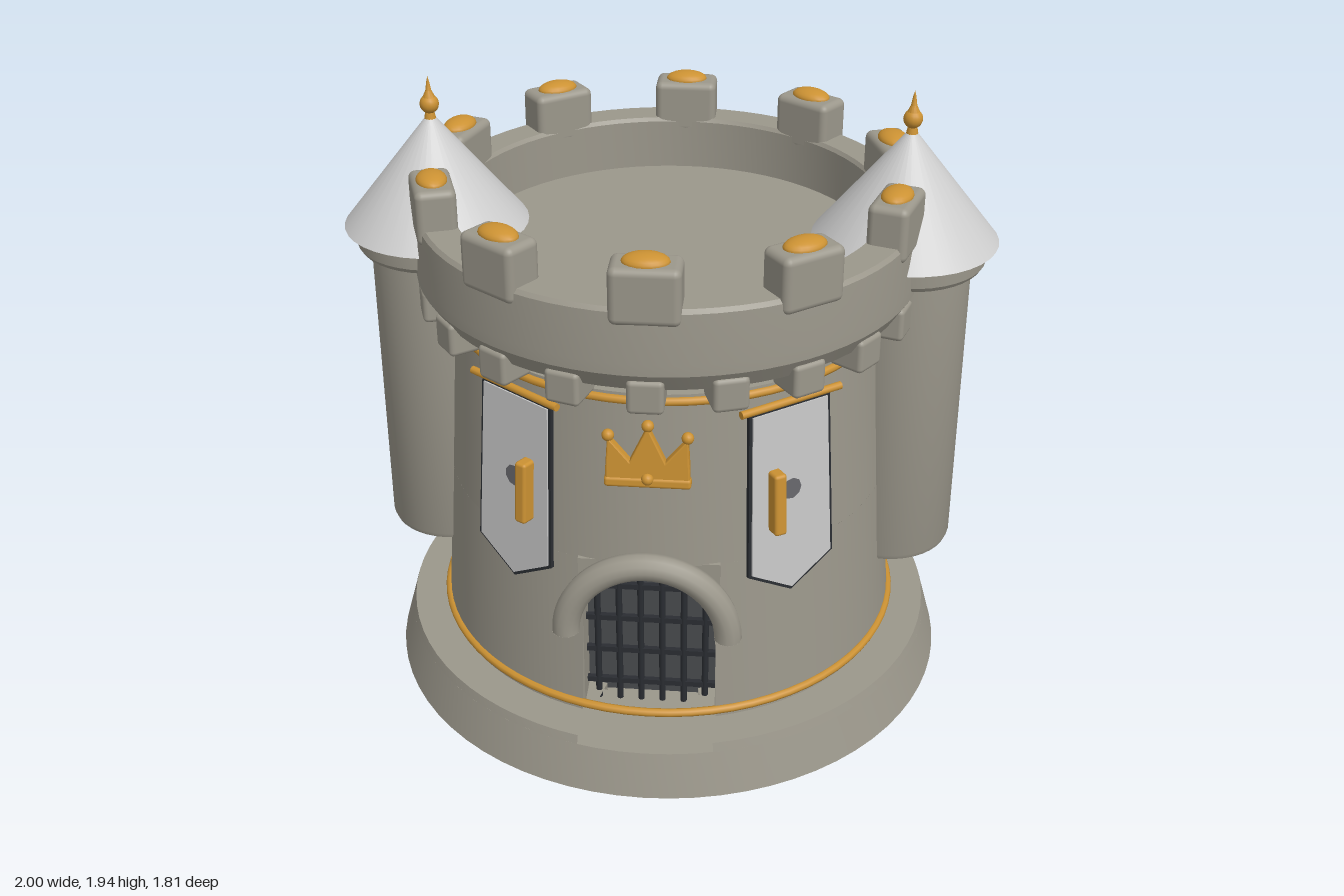
import * as THREE from 'three';
import { toCreasedNormals } from 'three/addons/utils/BufferGeometryUtils.js';
import { RoundedBoxGeometry } from 'three/addons/geometries/RoundedBoxGeometry.js';

const material = (name, color, side = THREE.FrontSide) => {
  const m = new THREE.MeshStandardMaterial({ color, side });
  m.name = name;
  return m;
};

export function createModel() {
  const stone = material('stone', 0x9b978b, THREE.DoubleSide);
  const roof = material('pale roof', 0xcdcdcd);
  const cloth = material('banner cloth', 0xc6c6c6);
  const gold = material('gold', 0xcc9233);
  const iron = material('dark iron', 0x2a2d32);
  const shade = material('gate shadow', 0x484a4d);
  const grey = material('emblem grey', 0x66666a);

  const model = new THREE.Group();
  model.name = 'castleTower';

  const add = (name, geo, mat, pos = [0, 0, 0], parent = model) => {
    const mesh = new THREE.Mesh(geo, mat);
    mesh.name = name;
    mesh.position.set(...pos);
    parent.add(mesh);
    return mesh;
  };
  const group = (name, parent = model) => {
    const g = new THREE.Group();
    g.name = name;
    parent.add(g);
    return g;
  };
  // Turned profile with crisp edges; gap is the half angle left open at the front
  const turned = (points, gap = 0, segments = 72) => toCreasedNormals(
    new THREE.LatheGeometry(points.map(p => new THREE.Vector2(...p)), segments, gap, Math.PI * 2 - 2 * gap), 0.5);
  const polygon = pts => new THREE.Shape(pts.map(p => new THREE.Vector2(...p)));
  const plate = (shape, depth, bevel = 0) => new THREE.ExtrudeGeometry(shape, {
    depth, bevelEnabled: bevel > 0, bevelSize: bevel, bevelThickness: bevel, bevelSegments: 2, curveSegments: 20 });

  // Sloping wall: radius at a height, and a frame lying on the wall
  const wallRadius = y => 0.74 - 0.068 * (y - 0.17);
  const onWall = (name, angle, y) => {
    const turn = group(name);
    turn.rotation.y = angle;
    const frame = group(name + 'Frame', turn);
    frame.position.set(0, y, wallRadius(y));
    frame.rotation.x = -Math.atan(0.068);
    return frame;
  };

  // Base with a shallow threshold cut
  add('base', turned([[0, 0], [0.905, 0], [0.866, 0.14], [0, 0.14]]), stone);
  add('baseTop', turned([[0.866, 0.14], [0.858, 0.168], [0.6, 0.168], [0.6, 0.14]], 0.24), stone);

  // Main wall, open at the doorway
  add('lowerWall', turned([[wallRadius(0.14), 0.14], [wallRadius(0.71), 0.71]], 0.28), stone);
  add('upperWall', turned([[wallRadius(0.71), 0.71], [wallRadius(1.27), 1.27], [0, 1.27]]), stone);

  // Gilded bands
  for (const [name, y, r] of [['lowerBand', 0.195, 0.742], ['upperBand', 1.25, 0.669]]) {
    add(name, new THREE.TorusGeometry(r, 0.013, 8, 72), gold, [0, y, 0]).rotation.x = Math.PI / 2;
  }

  // Doorway: arched surround, jambs, hood and portcullis
  const door = group('doorway');
  const spandrel = polygon([[-0.21, 0.5], [-0.2, 0.5]]);
  spandrel.absarc(0, 0.5, 0.2, Math.PI, 0, true);
  spandrel.lineTo(0.21, 0.5);
  spandrel.lineTo(0.21, 0.715);
  spandrel.lineTo(-0.21, 0.715);
  add('doorArch', plate(spandrel, 0.13), stone, [0, 0, 0.555], door);
  for (const s of [-1, 1]) {
    add('doorJamb', new THREE.BoxGeometry(0.03, 0.38, 0.13), stone, [s * 0.215, 0.33, 0.615], door);
    add('hoodEnd', new THREE.CircleGeometry(0.041, 16), stone, [s * 0.24, 0.51, 0.76], door).rotation.x = Math.PI / 2;
  }
  add('hood', new THREE.TorusGeometry(0.24, 0.041, 12, 32, Math.PI), stone, [0, 0.51, 0.76], door);
  add('gateBack', new THREE.PlaneGeometry(0.42, 0.58), shade, [0, 0.43, 0.57], door);
  for (let i = 0; i < 6; i++) {
    const x = -0.165 + i * 0.066;
    const top = 0.5 + Math.sqrt(0.04 - x * x);
    add('gateBar', new THREE.CylinderGeometry(0.01, 0.01, top - 0.14, 8), iron, [x, (top + 0.14) / 2, 0.61], door);
  }
  for (const y of [0.21, 0.33, 0.45, 0.57]) {
    add('gateRail', new THREE.BoxGeometry(y > 0.5 ? 0.37 : 0.4, 0.018, 0.016), iron, [0, y, 0.61], door);
  }

  // Parapet ring, roof floor, corbels and merlons
  add('parapet', turned([[0.65, 1.325], [0.735, 1.325], [0.772, 1.385], [0.772, 1.42], [0.763, 1.57],
    [0.753, 1.582], [0.658, 1.582], [0.65, 1.57], [0.65, 1.325]]), stone);
  add('roofFloor', new THREE.CylinderGeometry(0.66, 0.66, 0.07, 64), stone, [0, 1.375, 0]);
  for (let i = 0; i < 20; i++) {
    const turn = group('corbel');
    turn.rotation.y = i * Math.PI / 10;
    add('corbelBlock', new RoundedBoxGeometry(0.105, 0.105, 0.12, 2, 0.015), stone, [0, 1.312, 0.707], turn);
  }
  for (let i = 0; i < 10; i++) {
    const turn = group('merlon');
    turn.rotation.y = i * Math.PI / 5;
    add('merlonBlock', new RoundedBoxGeometry(0.2, 0.17, 0.122, 3, 0.022), stone, [0, 1.617, 0.71], turn);
    add('merlonStud', new THREE.SphereGeometry(1, 20, 12), gold, [0, 1.702, 0.71], turn).scale.set(0.067, 0.025, 0.046);
  }

  // Side turrets
  for (const s of [-1, 1]) {
    const turret = group(s > 0 ? 'leftTurret' : 'rightTurret');
    turret.position.x = s * 0.717;
    add('turretShaft', turned([[0, 0.42], [0.19, 0.42], [0.205, 0.428], [0.211, 0.445], [0.207, 1.42]], 0, 40), stone, [0, 0, 0], turret);
    add('turretCollar', turned([[0.2, 1.405], [0.238, 1.405], [0.248, 1.42], [0.25, 1.48], [0, 1.48]], 0, 40), stone, [0, 0, 0], turret);
    add('turretRoof', new THREE.ConeGeometry(0.283, 0.355, 36), roof, [0, 1.653, 0], turret);
    add('finialBall', new THREE.SphereGeometry(0.029, 16, 12), gold, [0, 1.853, 0], turret);
    add('finialSpike', turned([[0.022, 1.868], [0.009, 1.895], [0.005, 1.92], [0, 1.94]], 0, 12), gold, [0, 0, 0], turret);
    add('finialFoot', new THREE.CylinderGeometry(0.012, 0.018, 0.03, 12), gold, [0, 1.823, 0], turret);
  }

  // Banners: dark edging, pale cloth, emblem and hanging rod
  const pennant = inset => polygon([
    [-0.138 + inset, 0.3 - inset], [-0.15 + inset, -0.235 + inset * 0.6], [0, -0.325 + inset * 1.2],
    [0.15 - inset, -0.235 + inset * 0.6], [0.138 - inset, 0.3 - inset]]);
  for (const angle of [-0.62, 0.62, Math.PI]) {
    const banner = onWall('banner', angle, 0.895);
    add('bannerEdge', plate(pennant(0), 0.012), iron, [0, 0, -0.004], banner);
    add('bannerCloth', plate(pennant(0.01), 0.005), cloth, [0, 0, 0.008], banner);
    add('bannerEmblem', new THREE.CircleGeometry(0.034, 9), grey, [0, 0.025, 0.0145], banner);
    add('bannerRod', new THREE.CylinderGeometry(0.012, 0.012, 0.34, 10), gold, [0, 0.313, 0.015], banner).rotation.z = Math.PI / 2;
  }

  // Four upright gold brackets
  for (const angle of [-0.535, 0.535, Math.PI - 0.535, Math.PI + 0.535]) {
    const bracket = onWall('bracket', angle, 0.9);
    add('bracketBar', new RoundedBoxGeometry(0.04, 0.2, 0.07, 2, 0.01), gold, [0, 0, 0.025], bracket);
  }

  // Crown ornament over the door
  const crown = onWall('crown', 0, 1.09);
  const crownShape = polygon([[-0.115, -0.095], [0.115, -0.095], [0.115, -0.05], [0.112, 0.045], [0.05, -0.03],
    [0, 0.08], [-0.05, -0.03], [-0.112, 0.045], [-0.115, -0.05]]);
  add('crownBody', plate(crownShape, 0.022, 0.006), gold, [0, 0, -0.002], crown);
  add('crownRim', new RoundedBoxGeometry(0.25, 0.032, 0.036, 2, 0.01), gold, [0, -0.088, 0.012], crown);
  for (const [x, y] of [[-0.113, 0.055], [0, 0.088], [0.113, 0.055], [0, -0.075]]) {
    add('crownBead', new THREE.SphereGeometry(0.018, 14, 10), gold, [x, y, y < 0 ? 0.026 : 0.014], crown);
  }
  return model;
}
